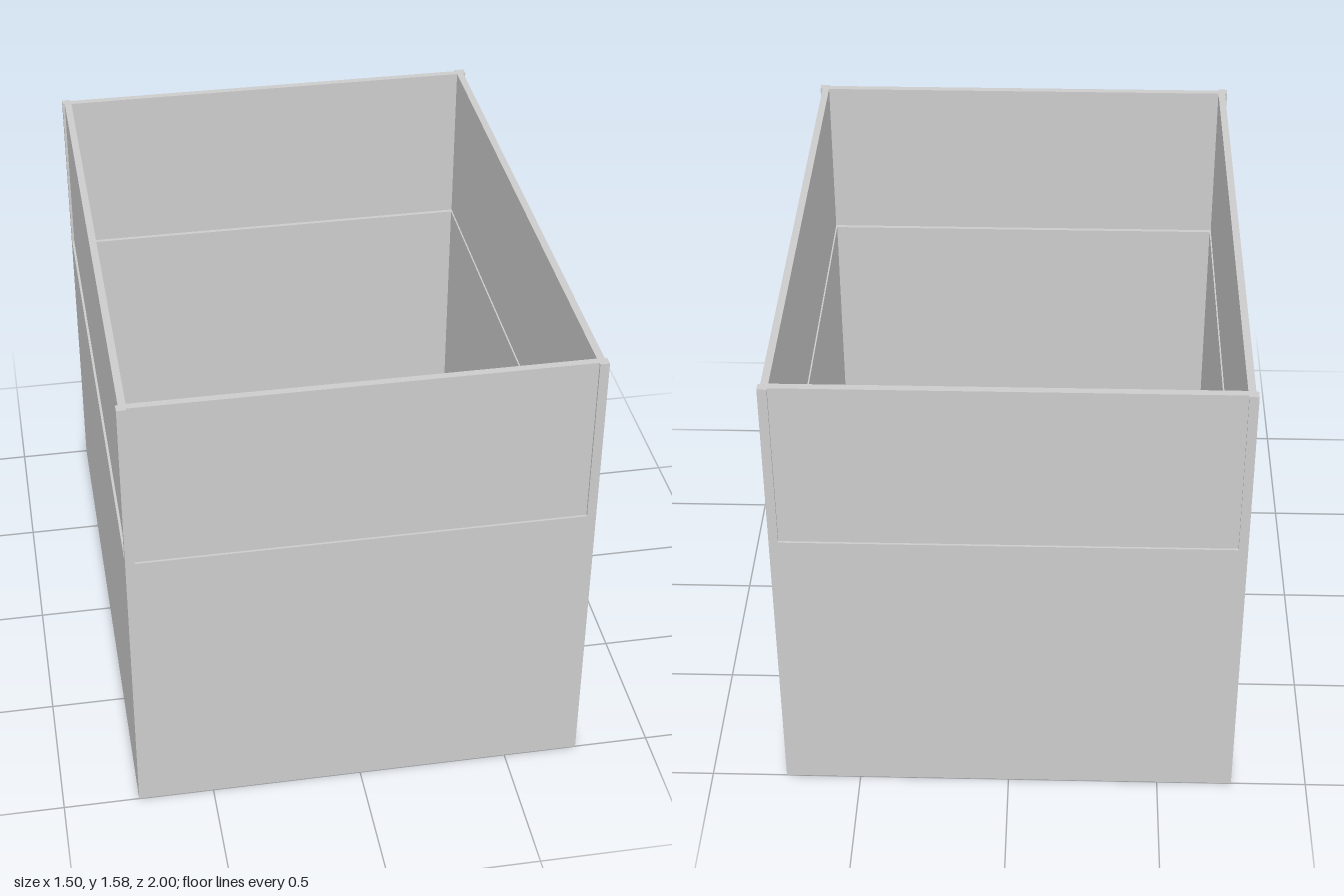
import * as THREE from 'three';

const W = 0.75, D = 1, H = 1.58; // half width, half depth, height
const SEAM = 1.0, FLOOR = 0.04;

const material = new THREE.MeshStandardMaterial({ color: 0xcccccc, flatShading: true });

function rectangle(x, z) {
  return [[-x, -z], [x, -z], [x, z], [-x, z]].map(([a, b]) => new THREE.Vector2(a, b));
}

// Outline with shallow recesses between flush corner posts
function postedOutline(x, z, post, recess) {
  const points = [];
  for (const [sx, sz] of [[-1, -1], [1, -1], [1, 1], [-1, 1]]) {
    const corner = [
      [x - recess, z - post], [x, z - post], [x, z],
      [x - post, z], [x - post, z - recess],
    ].map(([a, b]) => new THREE.Vector2(sx * a, sz * b));
    if (sx * sz < 0) corner.reverse();
    points.push(...corner);
  }
  return points;
}

// Upright extrusion of an outline, optionally hollow
function upright(name, outline, hole, bottom, top) {
  const shape = new THREE.Shape(outline);
  if (hole) shape.holes.push(new THREE.Path(hole));
  const geometry = new THREE.ExtrudeGeometry(shape, { depth: top - bottom, bevelEnabled: false });
  geometry.rotateX(-Math.PI / 2);
  geometry.translate(0, bottom, 0);
  const mesh = new THREE.Mesh(geometry, material);
  mesh.name = name;
  return mesh;
}

export function createModel() {
  const group = new THREE.Group();
  group.name = 'openBox';

  // Closed base
  group.add(upright('floor', rectangle(W, D), null, 0, FLOOR));

  // Thicker lower walls, forming a small inner ledge at the seam
  group.add(upright('lowerWalls', rectangle(W, D), rectangle(0.713, 0.952), FLOOR, SEAM));

  // Thinner upper walls, slightly set in between the corner posts
  group.add(upright('upperWalls', postedOutline(W, D, 0.03, 0.008),
    rectangle(0.718, 0.967), SEAM, H));

  return group;
}
